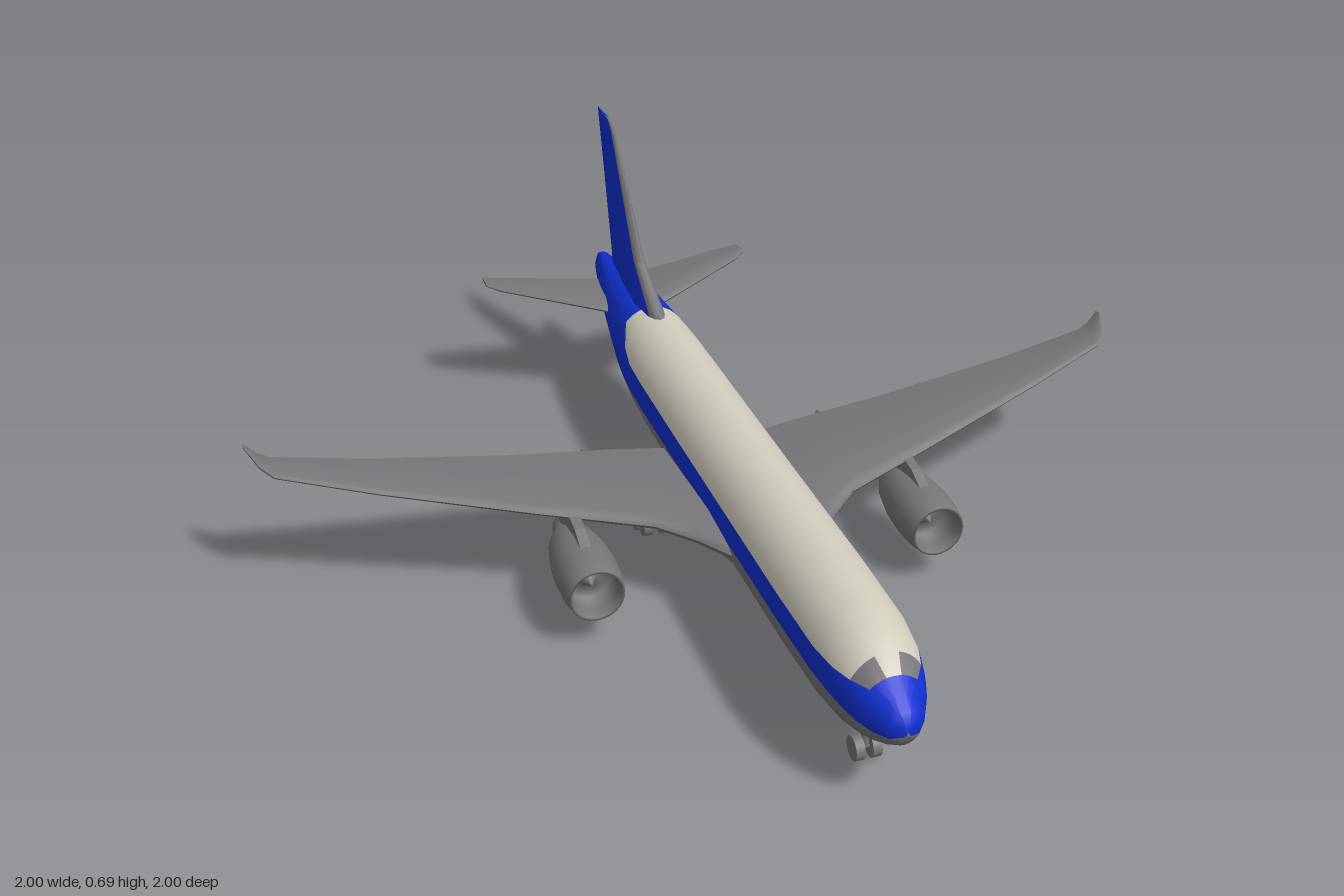
import * as THREE from 'three';
import { toCreasedNormals } from 'three/addons/utils/BufferGeometryUtils.js';

const paint = (name, color) => {
  const m = new THREE.MeshStandardMaterial({ color, side: THREE.DoubleSide });
  m.name = name;
  return m;
};

// Joins closed rings of [x, y, z] points into a skin; pick(i, j) chooses the material index.
function loft(rings, pick, flip = false) {
  const collapse = (ring) => {
    const c = [0, 1, 2].map((k) => ring.reduce((s, p) => s + p[k], 0) / ring.length);
    return ring.map(() => c);
  };
  const all = [collapse(rings[0]), ...rings, collapse(rings[rings.length - 1])];
  const n = rings[0].length;
  const lists = [[], [], []];
  for (let i = 0; i < all.length - 1; i++) {
    const row = Math.min(Math.max(i - 1, 0), rings.length - 2);
    for (let j = 0; j < n; j++) {
      const a = i * n + j, b = i * n + (j + 1) % n, c = a + n, d = b + n;
      const quad = i === 0 ? [b, c, d] : i === all.length - 2 ? [a, c, b] : [a, c, b, b, c, d];
      lists[pick(row, j)].push(...(flip ? quad.reverse() : quad));
    }
  }
  const geo = new THREE.BufferGeometry();
  geo.setAttribute('position', new THREE.Float32BufferAttribute(all.flat(2), 3));
  geo.setIndex(lists.flat());
  let start = 0;
  lists.forEach((list, k) => {
    if (list.length) geo.addGroup(start, list.length, k);
    start += list.length;
  });
  return toCreasedNormals(geo, 0.75);
}

// Aerofoil surface along +x (or -x); sections are [span, leading z, trailing z, y, thickness].
const FOIL = [[0, 0], [0.02, 0.4], [0.08, 0.7], [0.3, 1], [0.6, 0.72], [1, 0.06]];
function foil(sections, side, pick) {
  const outline = [...FOIL, ...FOIL.slice(1).reverse().map(([t, h]) => [t, -h])];
  const rings = sections.map(([x, le, te, y, th]) =>
    outline.map(([t, h]) => [side * x, y + h * th / 2, le + (te - le) * t]));
  return loft(rings, pick, side < 0);
}

export function createModel() {
  const cream = paint('cream', 0xd0cdbd);
  const blue = paint('blue', 0x1030d0);
  const grey = paint('grey', 0x77777b);
  const paints = [grey, blue, cream];
  const group = new THREE.Group();
  const add = (name, geo, mat, x = 0, y = 0, z = 0) => {
    const m = new THREE.Mesh(geo, mat);
    m.name = name;
    m.position.set(x, y, z);
    group.add(m);
    return m;
  };

  // Fuselage: z, bottom, top, half width, lower and upper edge of the stripe
  const body = [
    [1.0, 0.178, 0.202, 0.008, 0.181, 0.2],
    [0.985, 0.152, 0.222, 0.032, 0.172, 0.218],
    [0.96, 0.135, 0.24, 0.051, 0.174, 0.235],
    [0.93, 0.12, 0.262, 0.067, 0.178, 0.243],
    [0.895, 0.107, 0.289, 0.08, 0.185, 0.245],
    [0.85, 0.095, 0.311, 0.091, 0.192, 0.245],
    [0.78, 0.087, 0.324, 0.099, 0.197, 0.245],
    [0.6, 0.081, 0.328, 0.102, 0.197, 0.245],
    [0.3, 0.08, 0.328, 0.102, 0.195, 0.245],
    [0, 0.08, 0.328, 0.102, 0.193, 0.245],
    [-0.3, 0.086, 0.328, 0.102, 0.19, 0.247],
    [-0.4, 0.096, 0.328, 0.1, 0.19, 0.25],
    [-0.46, 0.106, 0.328, 0.097, 0.191, 0.265],
    [-0.53, 0.119, 0.327, 0.091, 0.194, 0.297],
    [-0.65, 0.148, 0.324, 0.077, 0.2, 0.297],
    [-0.78, 0.182, 0.316, 0.058, 0.213, 0.29],
    [-0.9, 0.21, 0.303, 0.036, 0.227, 0.283],
    [-0.97, 0.224, 0.293, 0.022, 0.235, 0.277],
    [-1.0, 0.238, 0.28, 0.009, 0.245, 0.273],
  ];
  const STEPS = [6, 3, 7];
  const half = 16;
  const bodyRings = body.map(([z, lo, hi, w, s1, s2]) => {
    const c = (lo + hi) / 2, h = (hi - lo) / 2;
    const stops = [-Math.PI / 2, Math.asin((s1 - c) / h), Math.asin((s2 - c) / h), Math.PI / 2];
    const angles = [];
    STEPS.forEach((n, k) => {
      for (let s = 0; s < n; s++) angles.push(stops[k] + (stops[k + 1] - stops[k]) * s / n);
    });
    const right = [...angles, Math.PI / 2].map((a) => [w * Math.cos(a), c + h * Math.sin(a), z]);
    const left = right.slice(1, -1).reverse().map(([x, y]) => [-x, y, z]);
    return [...right, ...left];
  });
  add('fuselage', loft(bodyRings, (i, j) => {
    const k = j < half ? j : 2 * half - 1 - j;
    if (k < STEPS[0]) return 0;
    if (k < STEPS[0] + STEPS[1]) return 1;
    if (i < 3 || i >= 13) return 1;
    return i === 3 && k < 14 ? 0 : 2; // windscreen band behind the blue nose
  }), paints);

  // Belly fairing between the wing roots
  const belly = new THREE.SphereGeometry(1, 24, 14);
  belly.scale(0.112, 0.058, 0.34);
  add('bellyFairing', belly, grey, 0, 0.138, 0.08);

  // Tail fin with a grey leading edge
  const finSections = [
    [0.3, -0.42, -0.87, 0, 0.06], [0.335, -0.46, -0.872, 0, 0.055],
    [0.41, -0.605, -0.893, 0, 0.038], [0.55, -0.72, -0.93, 0, 0.026],
    [0.67, -0.82, -0.964, 0, 0.015], [0.69, -0.86, -0.97, 0, 0.008],
  ];
  add('tailFin', foil(finSections, 1, (i, j) => (j < 2 || j > 8 ? 0 : 1)), paints)
    .rotation.z = Math.PI / 2;

  const wheel = new THREE.CylinderGeometry(0.025, 0.025, 0.018, 18).rotateZ(Math.PI / 2);
  const rod = (name, a, b, r) => {
    const from = new THREE.Vector3(...a), to = new THREE.Vector3(...b);
    const m = add(name, new THREE.CylinderGeometry(r, r, from.distanceTo(to), 10), grey);
    m.position.copy(from).add(to).multiplyScalar(0.5);
    m.quaternion.setFromUnitVectors(new THREE.Vector3(0, 1, 0), to.sub(from).normalize());
  };

  // Engine: open intake, fan face, spinner and tapered exhaust
  const nacelle = new THREE.LatheGeometry([
    [0, 0.03], [0.02, 0.035], [0.032, 0.08], [0.05, 0.12], [0.062, 0.18], [0.066, 0.24],
    [0.064, 0.29], [0.058, 0.325], [0.053, 0.325], [0.049, 0.3], [0.05, 0.25], [0.018, 0.25], [0, 0.285],
  ].map(([r, z]) => new THREE.Vector2(r, z)), 28).rotateX(Math.PI / 2);
  const pylonShape = new THREE.Shape([
    [0.27, 0.175], [0.2, 0.207], [0.12, 0.215], [-0.02, 0.205], [0.05, 0.15], [0.18, 0.13],
  ].map(([z, y]) => new THREE.Vector2(z, y)));
  const pylon = new THREE.ExtrudeGeometry(pylonShape, { depth: 0.022, bevelEnabled: false })
    .translate(0, 0, -0.011).rotateY(-Math.PI / 2);

  const wingSections = [
    [0.03, 0.4, -0.115, 0.165, 0.062], [0.1, 0.35, -0.115, 0.176, 0.056],
    [0.15, 0.285, -0.116, 0.183, 0.05], [0.22, 0.22, -0.12, 0.192, 0.042],
    [0.45, 0.13, -0.125, 0.217, 0.03], [0.75, 0.02, -0.135, 0.259, 0.021],
    [0.95, -0.053, -0.145, 0.295, 0.015], [0.975, -0.08, -0.15, 0.308, 0.012],
    [1.0, -0.138, -0.16, 0.329, 0.006],
  ];
  const tailSections = [
    [0.02, -0.64, -0.88, 0.255, 0.03], [0.08, -0.68, -0.88, 0.264, 0.026],
    [0.31, -0.8, -0.885, 0.298, 0.014], [0.34, -0.83, -0.885, 0.303, 0.008],
  ];

  for (const side of [1, -1]) {
    const tag = side > 0 ? 'left' : 'right';
    // Wing, its blue outer winglet face, and the tailplane
    add(tag + 'Wing', foil(wingSections, side, (i, j) => (i >= 6 && j >= 5 ? 1 : 0)), paints);
    add(tag + 'Tailplane', foil(tailSections, side, () => 0), paints);
    add(tag + 'Engine', nacelle, grey, side * 0.375, 0.122, 0);
    add(tag + 'Pylon', pylon, grey, side * 0.375, 0, 0);

    // Flap track fairings
    for (const [x, y] of [[0.28, 0.188], [0.47, 0.205], [0.72, 0.243]]) {
      const pod = new THREE.SphereGeometry(1, 12, 8);
      pod.scale(0.01, 0.013, 0.075);
      add(tag + 'FlapFairing', pod, grey, side * x, y, -0.075);
    }

    // Main gear: strut, brace, tilted bogie and four wheels
    const x = side * 0.163;
    rod(tag + 'MainStrut', [x, 0.055, -0.02], [side * 0.15, 0.18, -0.02], 0.009);
    rod(tag + 'MainBrace', [x, 0.09, -0.02], [side * 0.11, 0.15, 0], 0.005);
    rod(tag + 'Bogie', [x, 0.045, -0.052], [x, 0.068, 0.012], 0.007);
    for (const [y, z] of [[0.045, -0.052], [0.068, 0.012]]) {
      rod(tag + 'MainAxle', [x - 0.02, y, z], [x + 0.02, y, z], 0.005);
      for (const dx of [-0.019, 0.019]) add(tag + 'MainWheel', wheel, grey, x + dx, y, z);
    }
    add(tag + 'NoseWheel', wheel, grey, side * 0.017, 0.025, 0.82);
  }

  // Nose gear
  rod('noseStrut', [0, 0.025, 0.82], [0, 0.11, 0.82], 0.008);
  rod('noseAxle', [-0.02, 0.025, 0.82], [0.02, 0.025, 0.82], 0.005);
  rod('noseBrace', [0, 0.06, 0.82], [0, 0.1, 0.78], 0.004);
  return group;
}
